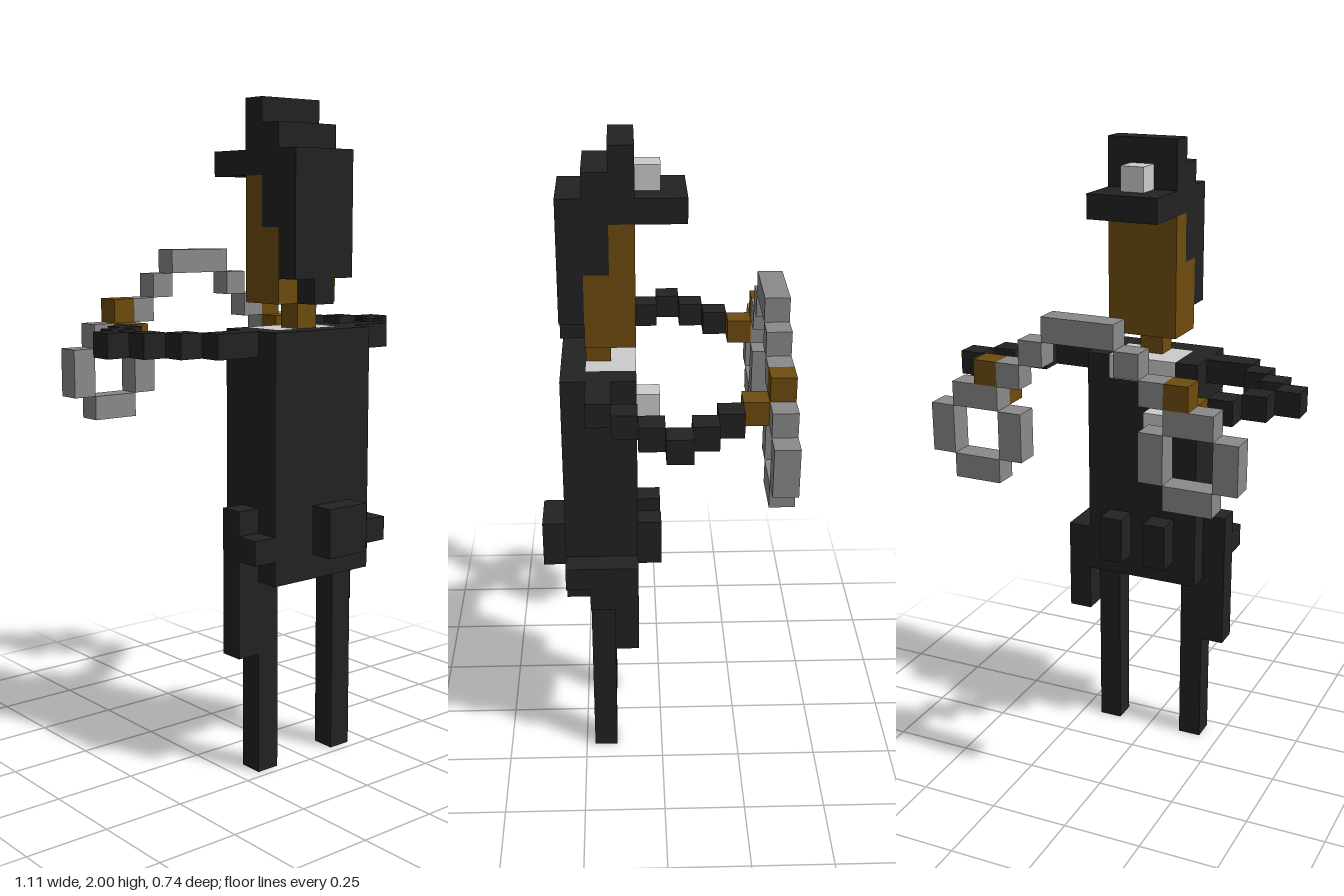
import * as THREE from 'three';

// One cell of the block grid: the figure is 27 cells tall
const V = 2 / 27;

const mat = (name, color) => {
  const m = new THREE.MeshStandardMaterial({ color });
  m.name = name;
  return m;
};

export function createModel() {
  const black = mat('black cloth', 0x222222);
  const brown = mat('brown skin', 0x6e4c0e);
  const grey = mat('grey metal', 0x8a8a8a);
  const white = mat('white', 0xcccccc);
  const model = new THREE.Group();
  model.name = 'figure';

  // Block filling the inclusive cell ranges; x cells are centred on 0, y and z cells start at 0
  const block = (name, m, [x0, x1], [y0, y1], [z0, z1], parent = model) => {
    const w = x1 - x0 + 1, h = y1 - y0 + 1, d = z1 - z0 + 1;
    const mesh = new THREE.Mesh(new THREE.BoxGeometry(w * V, h * V, d * V), m);
    mesh.name = name;
    mesh.position.set((x0 + x1) / 2 * V, (y0 + h / 2) * V, (z0 + d / 2) * V);
    parent.add(mesh);
  };
  const group = (name) => {
    const g = new THREE.Group();
    g.name = name;
    model.add(g);
    return g;
  };

  // Torso, with a shirt collar set into its top
  block('torso', black, [-2, 2], [8, 16], [1, 3]);
  block('upperBack', black, [-2, 2], [17, 17], [3, 3]);
  block('collar', white, [-1, 1], [17, 17], [1, 2]);
  block('chestBadge', white, [-1, -1], [15, 15], [0, 0]);

  // Belt gear
  block('backPouch', black, [0, 1], [9, 10], [4, 4]);
  block('leftHolster', black, [3, 3], [6, 9], [1, 1]);
  block('leftHolsterStep', black, [3, 3], [8, 9], [2, 2]);
  block('leftBeltClip', black, [3, 3], [9, 9], [3, 3]);
  block('rightBaton', black, [-3, -3], [5, 10], [2, 2]);
  block('rightBeltClip', black, [-3, -3], [9, 9], [3, 3]);

  // Head and hair
  block('neck', brown, [0, 0], [18, 18], [2, 2]);
  block('jaw', brown, [-1, 1], [19, 21], [1, 2]);
  block('face', brown, [-1, 1], [22, 23], [1, 1]);
  block('hairTop', black, [-1, 1], [22, 23], [2, 2]);
  block('hairBack', black, [-1, 1], [20, 23], [3, 3]);
  block('hairTail', black, [0, 0], [19, 19], [3, 3]);

  // Peaked cap
  block('capBrim', black, [-1, 1], [24, 24], [-1, 3]);
  block('capBand', black, [-1, 1], [25, 25], [1, 2]);
  block('capCrown', black, [-1, 1], [26, 26], [1, 1]);
  block('capBadge', white, [0, 0], [25, 25], [0, 0]);

  // Parts mirrored left and right
  for (const s of [1, -1]) {
    const side = s > 0 ? 'left' : 'right';
    const span = (a, b) => (s > 0 ? [a, b] : [-b, -a]);

    block(side + 'Leg', black, span(2, 2), [0, 7], [2, 2]);
    block(side + 'Shoulder', black, span(2, 2), [17, 17], [1, 2]);
    block(side + 'FrontPouch', black, span(1, 1), [9, 10], [0, 0]);

    // Arm bowing out and then in, one cell per step
    const arm = group(side + 'Arm');
    block('upperArm', black, span(3, 4), [17, 17], [2, 2], arm);
    [5, 6, 7, 6, 5].forEach((x, i) =>
      block('sleeve', black, span(x, x), [17, 17], [1 - i, 1 - i], arm));
    block('hand', brown, span(4, 4), [17, 17], [-4, -4], arm);
    block('fingers', brown, span(4, 4), [18, 18], [-5, -5], arm);

    // Cuff ring hanging from the hand
    const cuff = group(side + 'Cuff');
    for (const y of [14, 17]) block('cuffBar', grey, span(4, 5), [y, y], [-5, -5], cuff);
    for (const x of [3, 6]) block('cuffSide', grey, span(x, x), [15, 16], [-5, -5], cuff);

    // Chain rising to the middle
    for (const x of [2, 3]) block(side + 'ChainLink', grey, span(x, x), [21 - x, 21 - x], [-5, -5]);
  }
  block('chainMiddle', grey, [-1, 1], [20, 20], [-5, -5]);

  return model;
}
